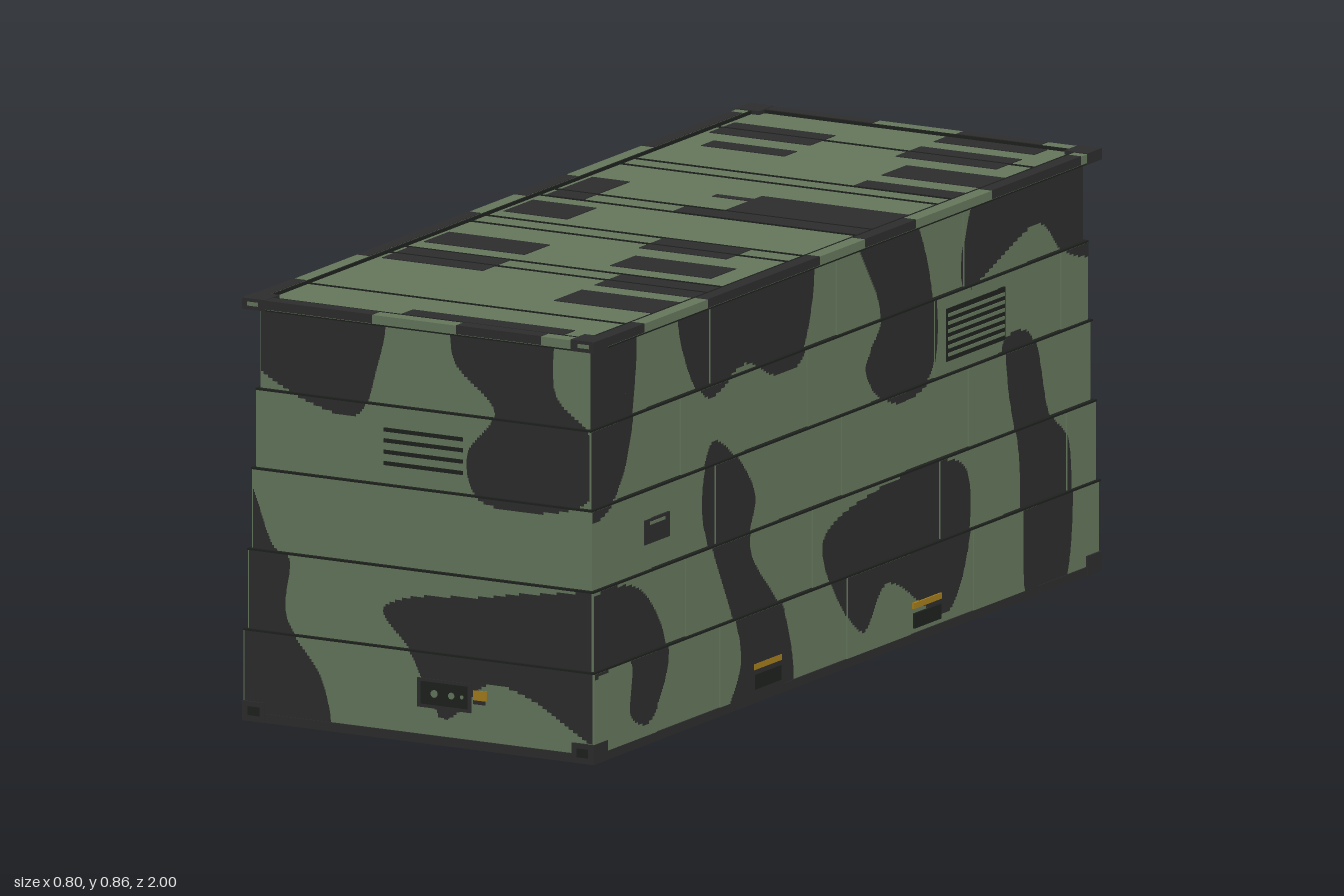
import * as THREE from 'three';

const mat = (name, color) => Object.assign(new THREE.MeshStandardMaterial({ color }), { name });

// smooth closed outline through a few control points
function blob(...flat) {
  const pts = [];
  for (let i = 0; i < flat.length; i += 2) pts.push(new THREE.Vector3(flat[i], flat[i + 1], 0));
  return new THREE.CatmullRomCurve3(pts, true, 'centripetal').getPoints(pts.length * 8);
}

// camouflage on the end walls (x, y)
const endBlobs = () => [
  blob(-.45, .9, -.1, .88, -.115, .72, -.15, .643, -.24, .65, -.4, .73),
  blob(.08, .9, .065, .78, .16, .68, .1, .59, .12, .51, .25, .49, .38, .53, .385, .65, .3, .73, .28, .9),
  blob(-.4, .49, -.335, .353, -.3, .34, -.305, .22, -.22, .1, -.21, -.02, -.45, -.02),
  blob(-.085, .258, -.03, .288, .14, .308, .25, .327, .45, .325, .45, .03, .25, .118, .16, .135, .06, .055, -.02, .18),
];
// camouflage on the long walls (z, y)
const sideBlobs = () => [
  blob(1.03, .9, .81, .88, .8, .72, .87, .53, 1.03, .49),
  blob(.62, .88, .1, .88, .14, .655, .25, .64, .36, .685, .53, .65),
  blob(-.07, .88, -.275, .88, -.38, .675, -.36, .52, -.2, .495, -.1, .58, -.17, .675),
  blob(-.57, .88, -1.05, .88, -1.03, .65, -.9, .66, -.8, .74, -.5, .67),
  blob(.5, .555, .345, .42, .37, .316, .24, .15, .22, -.02, .48, -.02, .42, .1, .55, .43),
  blob(1.03, .32, .81, .32, .7, .17, .78, .045, .855, .07, .855, .18, 1.03, .18),
  blob(.09, .27, -.26, .343, -.47, .316, -.49, .19, -.4, .035, -.15, .14, -.06, .06),
  blob(-.65, .53, -.75, .53, -.82, .35, -.88, .29, -.85, -.02, -.715, -.02, -.69, .29, -.65, .45),
];

// spans of an outline along a horizontal line
function spans(pts, y) {
  const hits = [];
  pts.forEach((a, i) => {
    const b = pts[(i + 1) % pts.length];
    if ((a.y > y) !== (b.y > y)) hits.push(a.x + (b.x - a.x) * (y - a.y) / (b.y - a.y));
  });
  hits.sort((p, q) => p - q);
  const out = [];
  for (let i = 0; i + 1 < hits.length; i += 2) out.push([hits[i], hits[i + 1]]);
  return out;
}

export function createModel() {
  const root = new THREE.Group();
  root.name = 'camouflagedContainer';
  const green = mat('camouflage green', 0x66785d);
  const dark = mat('camouflage charcoal', 0x2d2d2e);
  const black = mat('seam black', 0x1e211e);
  const yellow = mat('label yellow', 0xa67d1c);

  // box from its limits
  function box(name, m, x0, x1, y0, y1, z0, z1) {
    const mesh = new THREE.Mesh(new THREE.BoxGeometry(Math.abs(x1 - x0), y1 - y0, Math.abs(z1 - z0)), m);
    mesh.position.set((x0 + x1) / 2, (y0 + y1) / 2, (z0 + z1) / 2);
    mesh.name = name;
    root.add(mesh);
  }
  // box on both long walls: z range, y range, inner and outer distance
  const sideBox = (name, m, z0, z1, y0, y1, d0, d1) =>
    [1, -1].forEach(s => box(name, m, s * d0, s * d1, y0, y1, z0, z1));

  // five stacked tiers, each stepping in a little
  const Y = [.018, .185, .347, .51, .67, .836];
  const halfX = i => .397 - i * .006, halfZ = i => .997 - i * .006;
  const tiers = [0, 1, 2, 3, 4];
  // staggered side panels, every other one slightly proud
  const panels = tiers.map(i => {
    const L = halfZ(i), list = [];
    let a = -L, k = i;
    for (let b = -1 + (i % 2 ? .125 : .25); a < L; b += .25, k++) {
      const e = b > L - .06 ? L : b;
      list.push([a, e, k % 2 ? .003 : 0]);
      a = e;
    }
    return list;
  });
  tiers.forEach(i => {
    const x = halfX(i), z = halfZ(i);
    box('wallTier', green, -x, x, Y[i], Y[i + 1], -z, z);
    box('tierSeam', black, -x - .0035, x + .0035, Y[i + 1] - .003, Y[i + 1] + .001, -z - .002, z + .002);
    panels[i].filter(p => p[2]).forEach(p => sideBox('sidePanel', green, p[0], p[1], Y[i], Y[i + 1] - .003, x - .01, x + p[2]));
  });

  // camouflage painted in thin rows that follow the tiers
  function paint(name, shapes, isSide, place, flip) {
    const pos = [], idx = [];
    tiers.forEach(i => {
      const rows = 28, h = (Y[i + 1] - Y[i] - .003) / rows;
      const base = (isSide ? halfX(i) : halfZ(i)) + .0013;
      const faces = isSide ? panels[i] : [[-halfX(i), halfX(i), 0]];
      for (let r = 0; r < rows; r++) {
        const y0 = Y[i] + r * h, y1 = y0 + h;
        for (const s of shapes) for (const [a, b] of spans(s, (y0 + y1) / 2)) for (const [p, q, lift] of faces) {
          const u0 = Math.max(a, p), u1 = Math.min(b, q), d = base + lift, n = pos.length / 3;
          if (u1 <= u0) continue;
          pos.push(...place(u0, y0, d), ...place(u1, y0, d), ...place(u1, y1, d), ...place(u0, y1, d));
          idx.push(...(flip ? [n, n + 2, n + 1, n, n + 3, n + 2] : [n, n + 1, n + 2, n, n + 2, n + 3]));
        }
      }
    });
    const g = new THREE.BufferGeometry();
    g.setAttribute('position', new THREE.Float32BufferAttribute(pos, 3));
    g.setIndex(idx);
    g.computeVertexNormals();
    const mesh = new THREE.Mesh(g, dark);
    mesh.name = name;
    root.add(mesh);
  }
  paint('frontCamouflage', endBlobs(), false, (u, y, d) => [u, y, d], false);
  paint('backCamouflage', endBlobs(), false, (u, y, d) => [u, y, -d], true);
  paint('leftCamouflage', sideBlobs(), true, (u, y, d) => [d, y, u], true);
  paint('rightCamouflage', sideBlobs(), true, (u, y, d) => [-d, y, u], false);

  // base frame, roof and top rails
  box('baseFrame', dark, -.4, .4, 0, .018, -1, 1);
  box('roof', green, -.38, .38, .834, .848, -.98, .98);
  sideBox('topSideRail', green, -1, 1, .836, .854, .37, .4);
  sideBox('railSeam', black, -.97, .97, .845, .8545, .366, .37);
  sideBox('railUnderside', black, -.97, .97, .833, .836, .37, .4);
  for (const s of [1, -1]) {
    box('topEndRail', green, -.37, .37, .836, .854, s * .97, s);
    box('endRailSeam', black, -.37, .37, .845, .8545, s * .965, s * .969);
    box('railUnderside', black, -.4, .4, .833, .836, s * .97, s);
    for (const [a, b] of [[-.35, -.105], [.087, .28]]) box('railPatch', dark, a, b, .837, .855, s * .97, s * 1.0008);
  }
  for (const [a, b] of [[-.92, -.57], [-.27, -.07], [.11, .55], [.8, .95]])
    sideBox('railPatch', dark, a, b, .837, .855, .372, .4008);

  // roof seams and roof camouflage
  for (const z of [-.81, -.485, -.43, -.17, -.11, .1, .16, .42, .48, .8])
    box('roofSeam', black, -.366, .36, .847, .8505, z - .002, z + .002);
  const roofPatches = (x0, x1, ...ranges) =>
    ranges.forEach(([z0, z1]) => box('roofPatch', dark, x0, x1, .846, .8495, z0, z1));
  roofPatches(-.355, -.125, [-.86, -.76], [.265, .365], [.42, .53]);
  roofPatches(-.31, -.12, [-.7, -.65]);
  roofPatches(-.355, -.27, [-.3, -.11]);
  roofPatches(-.355, -.21, [-.065, .05]);
  roofPatches(.07, .3, [-.96, -.91], [-.86, -.76], [.265, .365]);
  roofPatches(.13, .36, [-.7, -.6], [-.545, -.49], [.425, .53], [.58, .69]);
  roofPatches(-.065, .36, [-.29, -.27], [-.165, -.115]);
  roofPatches(.02, .36, [-.32, -.29], [-.27, -.165]);
  roofPatches(.04, .24, [.1, .2]);
  roofPatches(-.07, .3, [.9, .965]);

  // corner castings with slots
  for (const sx of [1, -1]) for (const sz of [1, -1]) {
    box('lowerCorner', dark, sx * .35, sx * .4015, 0, .04, sz * .945, sz * 1.001);
    box('lowerCornerSlot', black, sx * .362, sx * .388, .012, .03, sz * .99, sz * 1.002);
    box('upperCorner', dark, sx * .348, sx * .4015, .833, .856, sz * .945, sz * 1.0012);
    box('upperCornerSlot', green, sx * .365, sx * .39, .841, .849, sz * .99, sz * 1.002);
  }

  // front vent slits, control box and label
  for (const y of [.552, .575, .598, .62]) box('frontVentSlit', black, -.09, .09, y - .004, y + .004, .97, .981);
  box('controlBox', dark, -.003, .12, .073, .132, .98, 1);
  box('controlBoxFace', black, .006, .112, .08, .126, .99, 1.0008);
  for (const [x, r] of [[.037, .008], [.076, .007], [.1, .004]]) {
    const dial = new THREE.Mesh(new THREE.CylinderGeometry(r, r, .003, 10), green);
    dial.rotation.x = Math.PI / 2;
    dial.position.set(x, .103, 1.0005);
    dial.name = 'controlDial';
    root.add(dial);
  }
  box('controlBoxDrain', dark, .045, .07, .056, .075, .99, .9995);
  box('frontLabel', yellow, .125, .155, .1, .12, .99, .9995);
  box('frontLabelStrip', dark, .125, .152, .092, .1, .99, .9995);

  // side vents, hatches, lift pockets and their labels
  sideBox('sideVentFrame', black, -.65, -.42, .535, .642, .37, .384);
  for (let k = 0; k < 6; k++) sideBox('sideVentSlat', green, -.645, -.425, .545 + k * .016, .552 + k * .016, .37, .386);
  sideBox('sideHatch', dark, .68, .78, .4, .45, .38, .3895);
  sideBox('sideHatchHandle', green, .7, .76, .438, .444, .38, .391);
  for (const z of [-.315, .315]) {
    sideBox('liftPocket', black, z - .052, z + .052, .028, .058, .39, .402);
    sideBox('liftLabel', yellow, z - .055, z + .055, .068, .08, .39, .402);
  }

  // back door locking rods
  for (const x of [-.28, -.085, -.04, .04, .085, .28]) {
    box('doorRod', black, x - .003, x + .003, .35, .51, -.98, -.9885);
    box('doorRod', black, x - .003, x + .003, .51, .668, -.97, -.9825);
  }
  return root;
}
